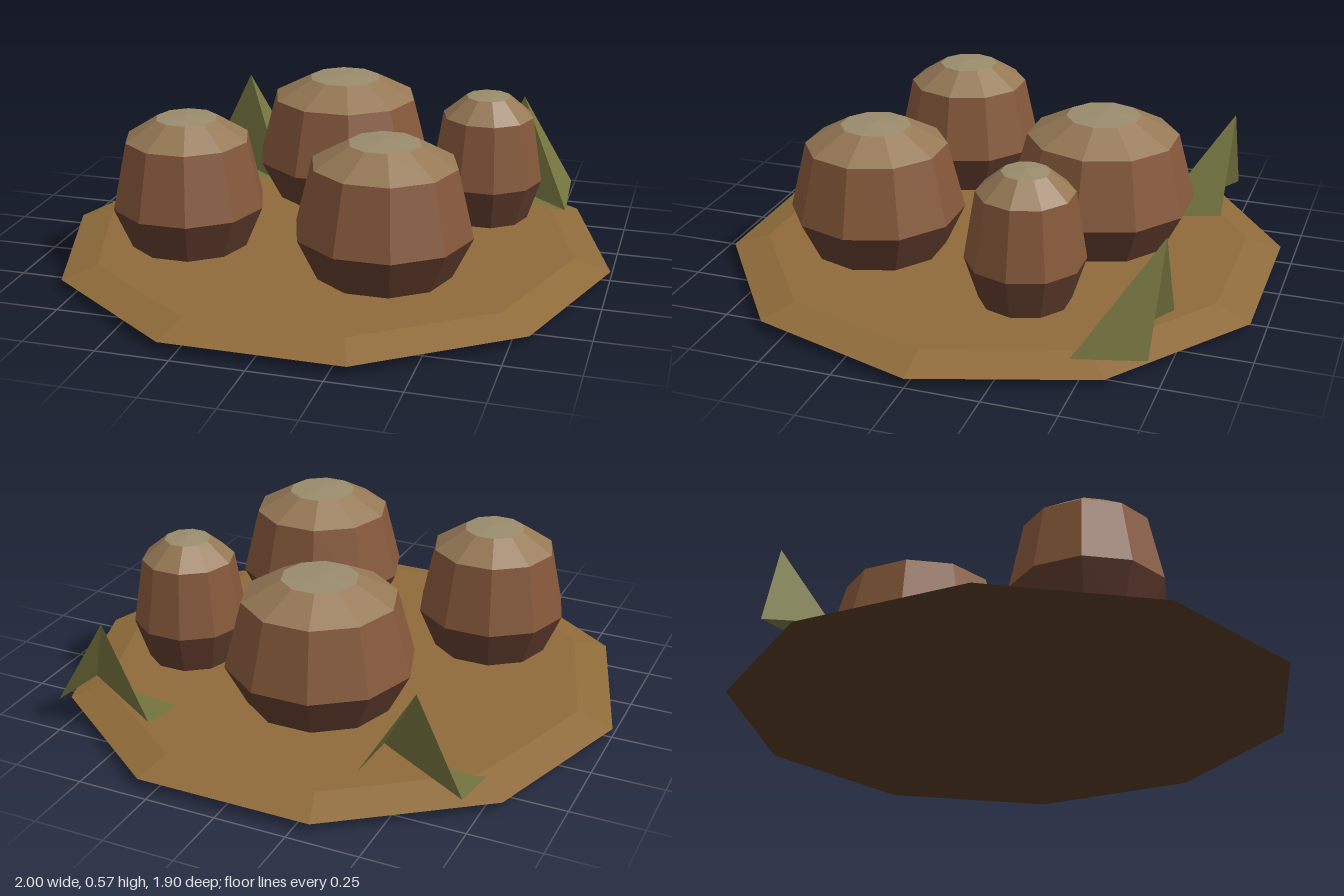
import * as THREE from 'three';

const paint = (color, side = THREE.FrontSide) =>
  new THREE.MeshStandardMaterial({ color, flatShading: true, side });

const SOIL = paint(0x8f6b3a);
const SOIL_UNDER = paint(0x523823);
const SHELL = paint(0x85583a);
const SHELL_UNDER = paint(0x5e3a2b);
const SHOULDER = paint(0x957855);
const CROWN = paint(0x9a8c6c);
const LEAF = paint(0x74743f, THREE.DoubleSide);

// Ten-sided turned band, with a corner on the x axis
function band(name, profile, material) {
  const points = profile.map(([r, y]) => new THREE.Vector2(r, y));
  const mesh = new THREE.Mesh(new THREE.LatheGeometry(points, 10, Math.PI / 2), material);
  mesh.name = name;
  return mesh;
}

// Rounded pod: dark underside, ribbed body, pale shoulder and crown
function pod(name, x, z, radius) {
  const group = new THREE.Group();
  group.name = name;
  group.add(
    band('podUnderside', [[0, 0.075], [0.77, 0.115], [1, 0.26]], SHELL_UNDER),
    band('podBody', [[1, 0.26], [0.81, 0.495]], SHELL),
    band('podShoulder', [[0.81, 0.495], [0.4, 0.565]], SHOULDER),
    band('podCrown', [[0.4, 0.565], [0, 0.575]], CROWN)
  );
  group.scale.set(radius, 1, radius);
  group.position.set(x, 0, z);
  return group;
}

// Folded leaf: three thin triangles sharing the front right corner
function leaf(name, x) {
  const tip = [-0.02, 0.43, -0.715];
  const backLeft = [-0.18, 0.095, -0.715];
  const backRight = [0.178, 0.1, -0.715];
  const frontLeft = [-0.19, 0.06, -0.475];
  const frontRight = [0.19, 0.068, -0.467];
  const corners = [
    tip, backLeft, frontRight,
    tip, frontRight, backRight,
    backLeft, frontLeft, frontRight
  ];
  const geometry = new THREE.BufferGeometry();
  geometry.setAttribute('position', new THREE.Float32BufferAttribute(corners.flat(), 3));
  geometry.computeVertexNormals();
  const mesh = new THREE.Mesh(geometry, LEAF);
  mesh.name = name;
  mesh.position.x = x;
  return mesh;
}

export function createModel() {
  const model = new THREE.Group();
  model.name = 'podPatch';

  // Bevelled ground slab
  model.add(
    band('groundUnderside', [[0, 0], [0.8, 0], [1, 0.033]], SOIL_UNDER),
    band('groundTop', [[1, 0.033], [0.873, 0.07], [0, 0.07]], SOIL)
  );

  model.add(
    pod('backPod', -0.055, -0.337, 0.33),
    pod('frontLeftPod', 0.28, 0.383, 0.305),
    pod('frontRightPod', -0.44, 0.305, 0.268),
    pod('smallPod', 0.51, -0.235, 0.202)
  );

  model.add(leaf('leftLeaf', 0.588), leaf('rightLeaf', -0.54));
  return model;
}
